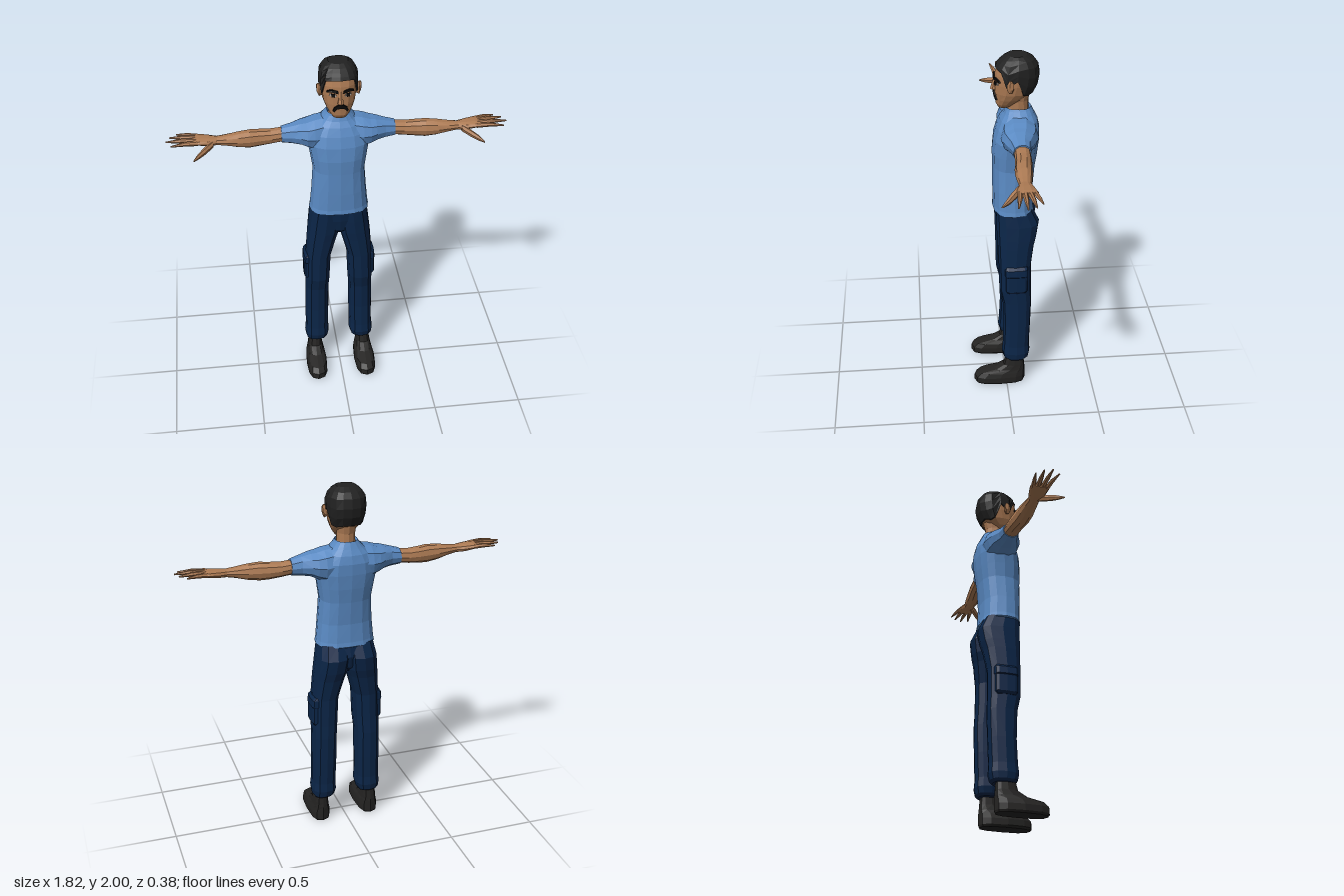
import * as THREE from 'three';

const mat = (name, color) => Object.assign(new THREE.MeshStandardMaterial({ color }), { name });

// skin a closed surface over cross-section rings; facets stay flat
function loft(rings, flip = false) {
  const pos = [], n = rings[0].length;
  const tri = (a, b, c) => [a, flip ? c : b, flip ? b : c].forEach(p => pos.push(p.x, p.y, p.z));
  for (let i = 0; i < rings.length - 1; i++) {
    for (let j = 0; j < n; j++) {
      const k = (j + 1) % n, lo = rings[i], hi = rings[i + 1];
      tri(lo[j], lo[k], hi[k]);
      tri(lo[j], hi[k], hi[j]);
    }
  }
  const first = rings[0], last = rings[rings.length - 1];
  for (let j = 1; j < n - 1; j++) {
    tri(first[0], first[j + 1], first[j]);
    tri(last[0], last[j], last[j + 1]);
  }
  const g = new THREE.BufferGeometry();
  g.setAttribute('position', new THREE.Float32BufferAttribute(pos, 3));
  g.computeVertexNormals();
  return g;
}

const power = (v, p) => Math.sign(v) * Math.pow(Math.abs(v), 2 / p);

// upright section: [y, x0, x1, zFront, zBack]
const ringY = (n, p) => ([y, x0, x1, zf, zb]) => Array.from({ length: n }, (_, j) => {
  const t = (j / n) * Math.PI * 2;
  return new THREE.Vector3((x0 + x1) / 2 + (x1 - x0) / 2 * power(Math.sin(t), p), y,
    (zf + zb) / 2 + (zf - zb) / 2 * power(Math.cos(t), p));
});

// sideways section: [x, y0, y1, zBack, zFront]
const ringX = (n, p) => ([x, y0, y1, zb, zf]) => Array.from({ length: n }, (_, j) => {
  const t = ((j + 0.5) / n) * Math.PI * 2;
  return new THREE.Vector3(x, (y0 + y1) / 2 + (y1 - y0) / 2 * power(Math.cos(t), p),
    (zb + zf) / 2 + (zf - zb) / 2 * power(Math.sin(t), p));
});

const mirrorRings = rings => rings.map(r => r.map(p => new THREE.Vector3(-p.x, p.y, p.z)));
const symmetric = rows => rows.map(([y, w, zf, zb]) => [y, -w, w, zf, zb]);

// head profile: y, half width, front z, back z
const HEAD = [
  [1.715, 0.036, 0.035, -0.03], [1.735, 0.052, 0.046, -0.06], [1.765, 0.07, 0.048, -0.1],
  [1.80, 0.085, 0.052, -0.145], [1.85, 0.094, 0.053, -0.17], [1.90, 0.097, 0.05, -0.178],
  [1.94, 0.094, 0.04, -0.172], [1.972, 0.074, 0.01, -0.148], [1.992, 0.045, -0.025, -0.11],
];
const HEAD_P = 2.4;
function headAt(y) {
  let i = 0;
  while (i < HEAD.length - 2 && y > HEAD[i + 1][0]) i++;
  const a = HEAD[i], b = HEAD[i + 1];
  const k = THREE.MathUtils.clamp((y - a[0]) / (b[0] - a[0]), 0, 1);
  return a.map((v, m) => THREE.MathUtils.lerp(v, b[m], k));
}
function faceZ(x, y) {
  const [, w, zf, zb] = headAt(y);
  const s = Math.pow(Math.min(Math.abs(x) / w, 1), HEAD_P);
  return (zf + zb) / 2 + (zf - zb) / 2 * Math.pow(1 - s, 1 / HEAD_P);
}

// thin plate that follows the curve of the face
function facePlate(points, lift) {
  const shape = new THREE.Shape(points.map(([x, y]) => new THREE.Vector2(x, y)));
  const g = new THREE.ExtrudeGeometry(shape, { depth: 0.008, bevelEnabled: false });
  const p = g.attributes.position;
  for (let i = 0; i < p.count; i++) p.setZ(i, p.getZ(i) + faceZ(p.getX(i), p.getY(i)) + lift - 0.008);
  g.computeVertexNormals();
  return g;
}

export function createModel() {
  const skin = mat('skin', 0xad7b54), shirt = mat('shirt blue', 0x5a8ac3);
  const navy = mat('trouser navy', 0x0b2547), hairMat = mat('hair', 0x212121);
  const boot = mat('boot', 0x242322), black = mat('black', 0x0c0b0b), white = mat('eye white', 0xa9a19a);

  const model = new THREE.Group();
  model.name = 'standingMan';
  const add = (name, geometry, material) => {
    const mesh = new THREE.Mesh(geometry, material);
    mesh.name = name;
    model.add(mesh);
    return mesh;
  };
  const pair = (name, rings, material) => {
    add(name + 'Left', loft(rings), material);
    add(name + 'Right', loft(mirrorRings(rings), true), material);
  };

  // head and neck
  add('head', loft(symmetric(HEAD).map(ringY(16, HEAD_P))), skin);
  add('neck', loft(symmetric([[1.66, 0.056, -0.01, -0.13], [1.71, 0.05, -0.015, -0.128],
    [1.75, 0.05, -0.01, -0.128], [1.80, 0.058, 0, -0.14]]).map(ringY(12, 2))), skin);

  // hair cap: lower edge varies around the head (front to back)
  const edge = [1.935, 1.935, 1.925, 1.845, 1.885, 1.80, 1.79, 1.80, 1.80];
  const hairRing = (k, lift) => edge.concat(edge.slice(1, 8).reverse()).map((e, j) => {
    const y = THREE.MathUtils.lerp(e, 1.992, k);
    const [, w, zf, zb] = headAt(y);
    const p = ringY(16, HEAD_P)([y, -w - lift, w + lift, zf + lift, zb - lift])[j];
    p.y += lift * k;
    return p;
  });
  add('hair', loft([hairRing(0, -0.006), ...[0, 0.25, 0.5, 0.75, 0.9, 1].map(k => hairRing(k, 0.008))]), hairMat);

  // ears
  pair('ear', [[0.085, 1.83, 1.885, -0.04, -0.01], [0.105, 1.82, 1.895, -0.042, -0.005],
    [0.116, 1.845, 1.89, -0.042, -0.018]].map(ringX(8, 2)), skin);

  // nose
  add('nose', loft(symmetric([[1.805, 0.014, 0.062, 0.03], [1.812, 0.019, 0.075, 0.03],
    [1.835, 0.013, 0.068, 0.03], [1.875, 0.009, 0.055, 0.03]]).map(ringY(6, 2))), skin);

  // eyes, brows and moustache
  for (const [side, s] of [['Left', 1], ['Right', -1]]) {
    const plate = (pts, lift) => facePlate(pts.map(([x, y]) => [x * s, y]), lift);
    add('brow' + side, plate([[0.012, 1.868], [0.045, 1.876], [0.072, 1.868], [0.068, 1.88],
      [0.045, 1.89], [0.014, 1.882]], 0.009), black);
    add('eye' + side, plate([[0.022, 1.852], [0.04, 1.846], [0.058, 1.853], [0.055, 1.863], [0.026, 1.863]], 0.003), white);
    add('iris' + side, plate([[0.031, 1.847], [0.047, 1.847], [0.05, 1.865], [0.029, 1.865]], 0.005), black);
    add('moustache' + side, plate([[0, 1.782], [0.02, 1.778], [0.034, 1.76], [0.041, 1.765],
      [0.034, 1.788], [0.015, 1.803], [0, 1.803]], 0.009), black);
  }

  // shirt body and sleeves
  add('shirtBody', loft(symmetric([
    [1.115, 0.158, 0.06, -0.155], [1.12, 0.166, 0.067, -0.162], [1.145, 0.161, 0.064, -0.158],
    [1.25, 0.151, 0.066, -0.154], [1.38, 0.142, 0.066, -0.165], [1.46, 0.154, 0.068, -0.177],
    [1.54, 0.168, 0.06, -0.185], [1.60, 0.158, 0.043, -0.186], [1.645, 0.125, 0.024, -0.176],
    [1.675, 0.09, 0.004, -0.16], [1.70, 0.068, -0.006, -0.148], [1.712, 0.06, -0.008, -0.142],
    [1.695, 0.052, -0.012, -0.134]]).map(ringY(16, 2.5))), shirt);
  pair('sleeve', [
    [0.07, 1.50, 1.683, -0.17, 0.02], [0.13, 1.495, 1.673, -0.172, 0.03], [0.17, 1.51, 1.66, -0.163, 0.028],
    [0.20, 1.525, 1.655, -0.148, 0.018], [0.25, 1.533, 1.641, -0.122, -0.005],
    [0.305, 1.539, 1.626, -0.113, -0.019]].map(ringX(10, 2.2)), shirt);

  // forearms and palms
  pair('arm', [
    [0.29, 1.545, 1.62, -0.108, -0.024], [0.36, 1.536, 1.615, -0.108, -0.022], [0.42, 1.529, 1.619, -0.105, -0.018],
    [0.47, 1.526, 1.623, -0.1, -0.01], [0.53, 1.534, 1.618, -0.094, -0.007], [0.60, 1.552, 1.607, -0.084, -0.01],
    [0.645, 1.56, 1.602, -0.076, -0.014], [0.69, 1.562, 1.606, -0.09, 0], [0.74, 1.574, 1.608, -0.1, 0.005],
    [0.765, 1.58, 1.605, -0.096, 0.002]].map(ringX(10, 2.2)), skin);

  // fingers and thumb: base to tip, given as x, y, z, radius
  const digits = [
    [[0.745, 1.592, -0.083, 0.013], [0.80, 1.596, -0.094, 0.011], [0.857, 1.594, -0.107, 0.004]],
    [[0.75, 1.594, -0.058, 0.014], [0.82, 1.599, -0.065, 0.012], [0.893, 1.597, -0.073, 0.004]],
    [[0.75, 1.594, -0.033, 0.014], [0.83, 1.599, -0.032, 0.012], [0.911, 1.597, -0.031, 0.004]],
    [[0.745, 1.591, -0.01, 0.014], [0.81, 1.596, -0.002, 0.012], [0.887, 1.593, 0.011, 0.004]],
    [[0.665, 1.577, -0.022, 0.02], [0.71, 1.56, 0.018, 0.02], [0.745, 1.547, 0.048, 0.015], [0.772, 1.537, 0.077, 0.005]],
  ];
  ['littleFinger', 'ringFinger', 'middleFinger', 'indexFinger', 'thumb'].forEach((name, i) => pair(name,
    digits[i].map(([x, y, z, r]) => [x, y - r, y + r, z - r, z + r]).map(ringX(6, 2)), skin));

  // trousers
  add('trouserSeat', loft(symmetric([[0.955, 0.04, 0.0, -0.11], [0.99, 0.11, 0.036, -0.15],
    [1.06, 0.15, 0.048, -0.168], [1.13, 0.154, 0.052, -0.152]]).map(ringY(12, 2.5))), navy);
  pair('trouserLeg', [
    [0.16, 0.08, 0.19, 0, -0.115], [0.175, 0.07, 0.2, 0.018, -0.13], [0.21, 0.061, 0.204, 0.026, -0.138],
    [0.26, 0.064, 0.199, 0.02, -0.134], [0.4, 0.06, 0.198, 0.014, -0.14], [0.56, 0.058, 0.195, 0.02, -0.145],
    [0.64, 0.052, 0.195, 0.038, -0.142], [0.8, 0.045, 0.191, 0.041, -0.142], [0.92, 0.012, 0.182, 0.045, -0.16],
    [0.97, -0.005, 0.177, 0.048, -0.174], [1.05, -0.015, 0.168, 0.05, -0.187],
    [1.13, -0.015, 0.154, 0.05, -0.15]].map(ringY(12, 2.6)), navy);

  // thigh pockets with flaps
  pair('pocket', [[0.64, 0.14, 0.196, 0.0, -0.11], [0.655, 0.14, 0.206, 0.008, -0.117],
    [0.75, 0.14, 0.204, 0.008, -0.117], [0.755, 0.14, 0.208, 0.011, -0.12],
    [0.795, 0.14, 0.204, 0.011, -0.12], [0.81, 0.14, 0.188, 0.005, -0.115]].map(ringY(12, 4)), navy);

  // boots
  pair('boot', [
    [0, 0.095, 0.2, 0.18, -0.105], [0.012, 0.086, 0.207, 0.191, -0.11], [0.045, 0.086, 0.207, 0.189, -0.11],
    [0.07, 0.091, 0.2, 0.162, -0.11], [0.09, 0.1, 0.192, 0.07, -0.108], [0.12, 0.105, 0.187, 0.018, -0.105],
    [0.18, 0.108, 0.179, 0.002, -0.1]].map(ringY(12, 2.8)), boot);

  return model;
}
